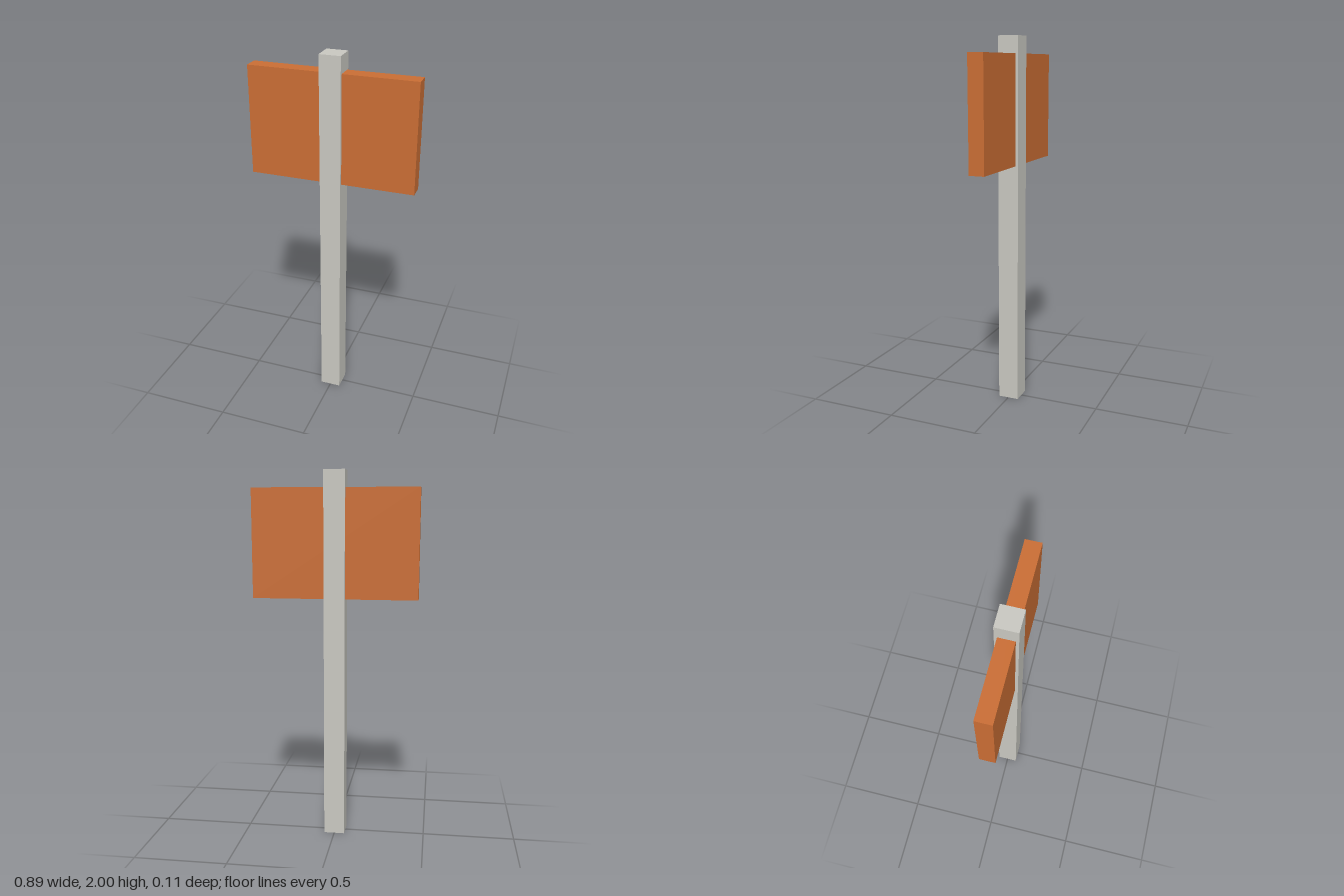
import * as THREE from 'three';

const orange = new THREE.MeshStandardMaterial({ name: 'orange', color: 0xc96d34 });
const paleGrey = new THREE.MeshStandardMaterial({ name: 'pale grey', color: 0xc8c7c0 });

// Box standing on the given base height, centred on the vertical axis
function addBox(parent, name, material, width, height, depth, base) {
  const mesh = new THREE.Mesh(new THREE.BoxGeometry(width, height, depth), material);
  mesh.name = name;
  mesh.position.y = base + height / 2;
  parent.add(mesh);
}

export function createModel() {
  const model = new THREE.Group();
  model.name = 'signpost';

  // Square post running the full height
  addBox(model, 'post', paleGrey, 0.113, 2, 0.113, 0);
  // Sign board passing through the post near its top
  addBox(model, 'signBoard', orange, 0.89, 0.583, 0.083, 1.327);

  return model;
}
